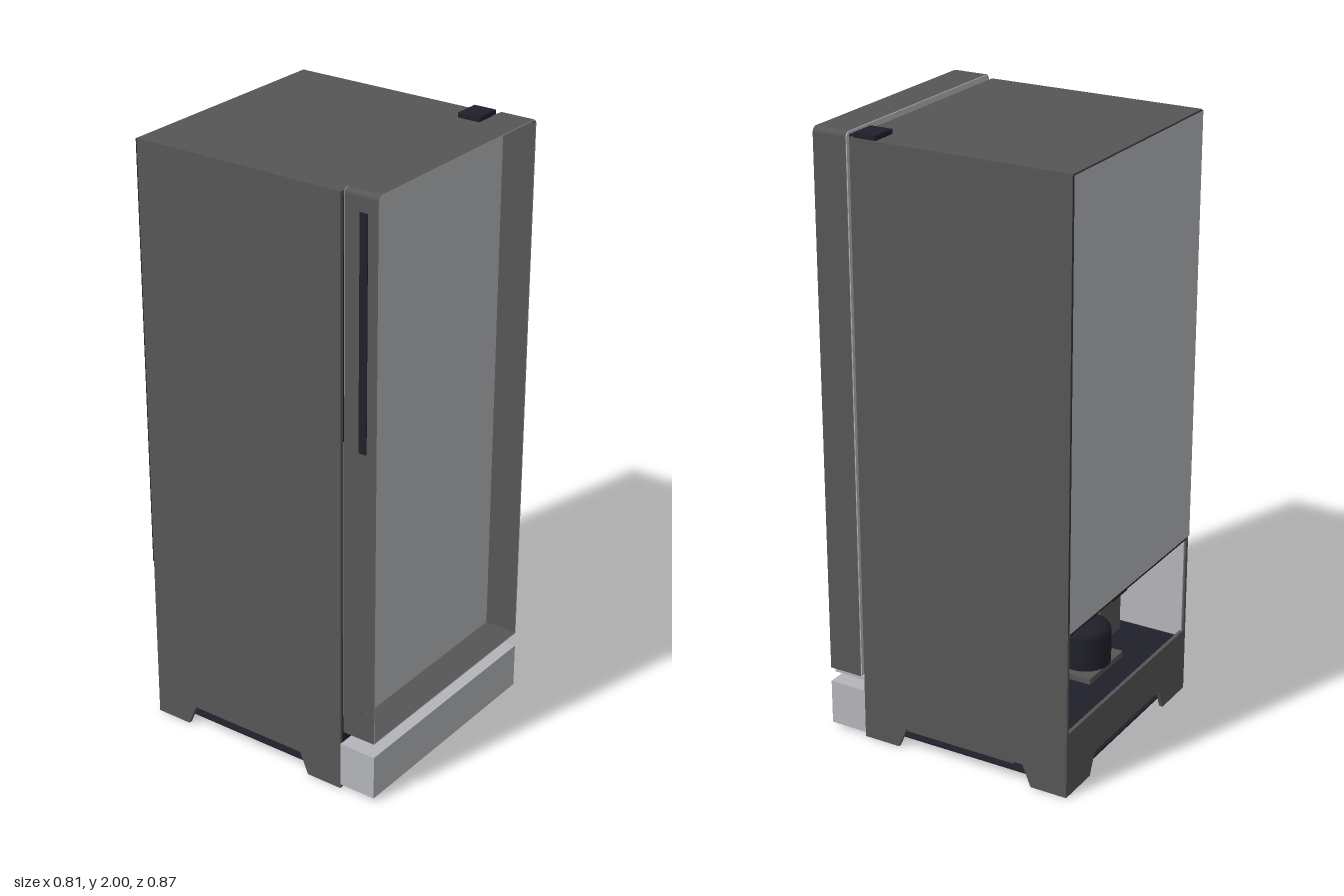
import * as THREE from 'three';

const mat = (name, color, side = THREE.FrontSide) => {
  const m = new THREE.MeshStandardMaterial({ color, side });
  m.name = name;
  return m;
};

export function createModel() {
  const dark = mat('darkGreySteel', 0x565656);
  const light = mat('lightGreySteel', 0xb4b5ba);
  const black = mat('blackPlastic', 0x20202b);
  const root = new THREE.Group();
  root.name = 'refrigerator';

  const add = (name, geo, material, parent = root) => {
    const m = new THREE.Mesh(geo, material);
    m.name = name;
    parent.add(m);
    return m;
  };
  // box given by its limits on each axis
  const box = (name, material, [x0, x1], [y0, y1], [z0, z1], parent = root) => {
    const m = add(name, new THREE.BoxGeometry(x1 - x0, y1 - y0, z1 - z0), material, parent);
    m.position.set((x0 + x1) / 2, (y0 + y1) / 2, (z0 + z1) / 2);
    return m;
  };
  // upright panel with a trapezoid notch in its lower edge, leaving two feet
  const notched = (a, b, top, n0, n1, depth) => {
    const pts = [[a, 0], [n0, 0], [n0 + 0.03, 0.072], [n1 - 0.03, 0.072], [n1, 0], [b, 0], [b, top], [a, top]];
    const shape = new THREE.Shape(pts.map(p => new THREE.Vector2(...p)));
    return new THREE.ExtrudeGeometry(shape, { depth, bevelEnabled: false });
  };

  // ---- cabinet ----
  const cabinet = new THREE.Group();
  cabinet.name = 'cabinet';
  root.add(cabinet);
  for (const s of [1, -1]) {
    const side = add('sidePanel', notched(-0.307, 0.431, 1.985, -0.18, 0.305, 0.012), dark, cabinet);
    side.rotation.y = Math.PI / 2;
    side.position.x = s > 0 ? 0.39 : -0.402;
    box('compartmentSideLining', light, s > 0 ? [0.384, 0.39] : [-0.39, -0.384], [0.2, 0.565], [-0.425, -0.1], cabinet);
  }
  box('topPanel', dark, [-0.39, 0.39], [1.97, 1.985], [-0.431, 0.307], cabinet);
  box('rearPanel', [black, black, black, black, black, light], [-0.4, 0.4], [0.565, 1.982], [-0.436, -0.43], cabinet);
  add('rearSkirt', notched(-0.39, 0.39, 0.22, -0.25, 0.25, 0.012), dark, cabinet).position.z = -0.431;
  add('frontSkirt', notched(-0.39, 0.39, 0.16, -0.26, 0.26, 0.012), dark, cabinet).position.z = 0.294;
  box('frontPlate', black, [-0.39, 0.39], [0.16, 1.97], [0.29, 0.306], cabinet);
  box('basePlate', black, [-0.385, 0.385], [0.03, 0.036], [-0.415, 0.293], cabinet);
  box('baseTray', dark, [-0.36, 0.36], [0.036, 0.08], [-0.22, 0.28], cabinet);

  // ---- machine compartment at the rear ----
  const machine = new THREE.Group();
  machine.name = 'machineCompartment';
  root.add(machine);
  box('compartmentFloor', black, [-0.39, 0.39], [0.18, 0.195], [-0.42, -0.08], machine);
  box('compartmentBackWall', dark, [-0.39, 0.39], [0.195, 0.57], [-0.1, -0.085], machine);
  const ceiling = box('compartmentCeiling', black, [-0.39, 0.39], [0.535, 0.547], [-0.43, -0.09], machine);
  ceiling.rotation.x = 0.1;
  for (const [x, y, w, h] of [[0.12, 0.44, 0.07, 0.05], [-0.02, 0.4, 0.1, 0.08], [-0.05, 0.28, 0.06, 0.05], [0.22, 0.3, 0.05, 0.06]])
    box('wallBracket', light, [x - w / 2, x + w / 2], [y - h / 2, y + h / 2], [-0.106, -0.1], machine);
  // compressor with dome and mounting plate
  const compressor = add('compressor', new THREE.CylinderGeometry(0.085, 0.085, 0.11, 24), black, machine);
  compressor.position.set(-0.06, 0.27, -0.24);
  const dome = add('compressorDome', new THREE.SphereGeometry(0.085, 24, 8, 0, Math.PI * 2, 0, Math.PI / 2), black, machine);
  dome.scale.y = 0.5;
  dome.position.set(-0.06, 0.325, -0.24);
  box('compressorMount', dark, [-0.17, 0.05], [0.195, 0.215], [-0.32, -0.16], machine);
  // fan
  const fan = new THREE.Group();
  fan.name = 'fan';
  fan.position.set(0.27, 0.36, -0.28);
  machine.add(fan);
  add('fanRing', new THREE.TorusGeometry(0.08, 0.012, 8, 28), black, fan);
  const hub = add('fanHub', new THREE.CylinderGeometry(0.022, 0.022, 0.04, 16), black, fan);
  hub.rotation.x = Math.PI / 2;
  for (let i = 0; i < 4; i++) {
    const blade = add('fanBlade', new THREE.BoxGeometry(0.15, 0.014, 0.006), black, fan);
    blade.rotation.z = i * Math.PI / 4;
  }
  box('fanStand', black, [0.23, 0.31], [0.195, 0.28], [-0.3, -0.26], machine);
  box('condenser', dark, [-0.34, -0.2], [0.195, 0.44], [-0.22, -0.12], machine);
  box('controlBox', black, [-0.31, -0.21], [0.36, 0.47], [-0.26, -0.22], machine);
  const pipePath = new THREE.CatmullRomCurve3([[-0.06, 0.35, -0.24], [0, 0.44, -0.22], [0.1, 0.46, -0.2], [0.14, 0.32, -0.22], [0.18, 0.22, -0.2]]
    .map(p => new THREE.Vector3(...p)));
  add('refrigerantPipe', new THREE.TubeGeometry(pipePath, 32, 0.009, 8), black, machine);

  // ---- door: open-fronted shell around a light panel ----
  const door = new THREE.Group();
  door.name = 'door';
  root.add(door);
  const outline = (Kind, w, y0, y1, r) => {
    const s = new Kind();
    s.moveTo(-w, y0).lineTo(w, y0).lineTo(w, y1 - r);
    s.absarc(w - r, y1 - r, r, 0, Math.PI / 2, false);
    s.absarc(-w + r, y1 - r, r, Math.PI / 2, Math.PI, false);
    s.lineTo(-w, y0);
    return s;
  };
  const shell = outline(THREE.Shape, 0.402, 0.215, 2, 0.018);
  shell.holes.push(outline(THREE.Path, 0.398, 0.219, 1.996, 0.014));
  add('doorShell', new THREE.ExtrudeGeometry(shell, { depth: 0.115, bevelEnabled: false, curveSegments: 6 }), [light, dark], door).position.z = 0.32;
  const panel = outline(THREE.Shape, 0.4, 0.217, 1.998, 0.016);
  add('doorPanel', new THREE.ExtrudeGeometry(panel, { depth: 0.006, bevelEnabled: false, curveSegments: 6 }), light, door).position.z = 0.317;
  box('doorGasket', light, [-0.372, 0.385], [0.24, 1.975], [0.306, 0.318], door);
  box('handleStrip', black, [-0.405, -0.401], [1.2, 1.94], [0.373, 0.4], door);
  const lock = add('doorLock', new THREE.CylinderGeometry(0.012, 0.012, 0.012, 20), dark, door);
  lock.rotation.z = Math.PI / 2;
  lock.position.set(-0.4, 0.315, 0.376);

  // ---- hinges ----
  box('topHingeCover', black, [0.305, 0.396], [1.985, 2], [0.22, 0.297]);
  box('topHingePin', black, [0.374, 0.386], [1.975, 1.99], [0.295, 0.322]);
  box('lowerHinge', light, [0.335, 0.4], [0.204, 0.214], [0.306, 0.42]);

  // ---- plinth under the door ----
  box('plinth', light, [-0.402, 0.402], [0.015, 0.166], [0.307, 0.435]);
  return root;
}
